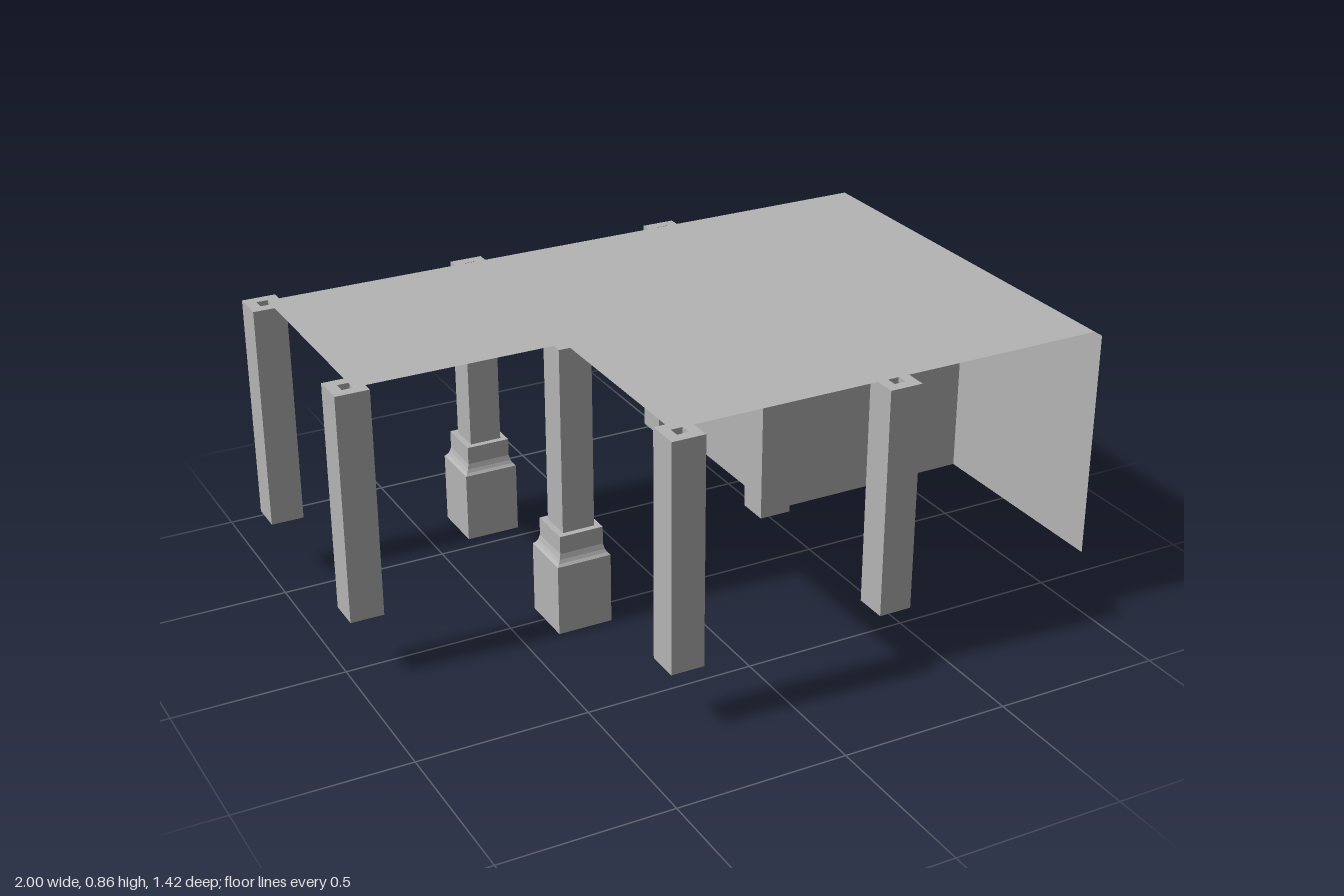
import * as THREE from 'three';

const BASE = 0.187, TOP = 0.862;

export function createModel() {
  const model = new THREE.Group();
  const gray = new THREE.MeshStandardMaterial({ color: 0xb4b4b4, side: THREE.DoubleSide });
  gray.name = 'plain gray';

  const add = (name, geometry, x = 0, y = 0, z = 0) => {
    const mesh = new THREE.Mesh(geometry, gray);
    mesh.name = name;
    mesh.position.set(x, y, z);
    model.add(mesh);
    return mesh;
  };

  const square = (Type, h) => new Type([[-h, -h], [h, -h], [h, h], [-h, h]].map(p => new THREE.Vector2(...p)));

  // Hollow square posts on a grid, one grid cell left out at the front
  const xs = [-0.949, -0.308, 0.338], zs = [-0.631, 0.012, 0.656];
  const section = square(THREE.Shape, 0.049);
  section.holes.push(square(THREE.Path, 0.017));
  const postGeo = new THREE.ExtrudeGeometry(section, { depth: TOP - BASE, bevelEnabled: false });
  postGeo.rotateX(-Math.PI / 2);
  xs.forEach((x, i) => zs.forEach((z, j) => {
    if (i === 0 && j === 2) return;
    add('post', postGeo, x, BASE, z);
  }));

  // Square pedestals with a hollow-curved shoulder
  const profile = [[0, 0], [0.083, 0], [0.083, 0.215], [0.076, 0.222], [0.071, 0.232],
    [0.067, 0.248], [0.067, 0.302], [0, 0.302]];
  const pedestalGeo = new THREE.LatheGeometry(
    profile.map(([r, y]) => new THREE.Vector2(r * Math.SQRT2, y)), 4, Math.PI / 4).toNonIndexed();
  pedestalGeo.computeVertexNormals();
  for (const z of [zs[0], zs[1]]) add('pedestal', pedestalGeo, xs[1], 0, z);

  // Thin L-shaped roof, drawn in x and -z
  const back = -0.646, mid = 0.029, front = 0.641;
  const outline = [[-0.935, back], [0.997, back], [0.997, front], [-0.323, front], [-0.323, mid], [-0.935, mid]];
  const roofGeo = new THREE.ShapeGeometry(new THREE.Shape(outline.map(([x, z]) => new THREE.Vector2(x, -z))));
  roofGeo.rotateX(-Math.PI / 2);
  add('roof', roofGeo, 0, TOP, 0);

  // Enclosed room: floor and thin walls, the side wall running on to the front
  const x0 = 0.354, x1 = 0.998, h = TOP - BASE, midY = (TOP + BASE) / 2;
  const width = x1 - x0, depth = mid - back;
  const floor = add('floor', new THREE.PlaneGeometry(width, depth).rotateX(Math.PI / 2), (x0 + x1) / 2, BASE, (mid + back) / 2);
  floor.name = 'roomFloor';
  add('backWall', new THREE.PlaneGeometry(width, h).rotateY(Math.PI), (x0 + x1) / 2, midY, back);
  add('roomFrontWall', new THREE.PlaneGeometry(width, h), (x0 + x1) / 2, midY, mid);
  add('innerSideWall', new THREE.PlaneGeometry(depth, h).rotateY(-Math.PI / 2), x0, midY, (mid + back) / 2);
  const wallEnd = 0.672;
  add('outerSideWall', new THREE.PlaneGeometry(wallEnd - back, h).rotateY(Math.PI / 2), x1, midY, (wallEnd + back) / 2);

  return model;
}
